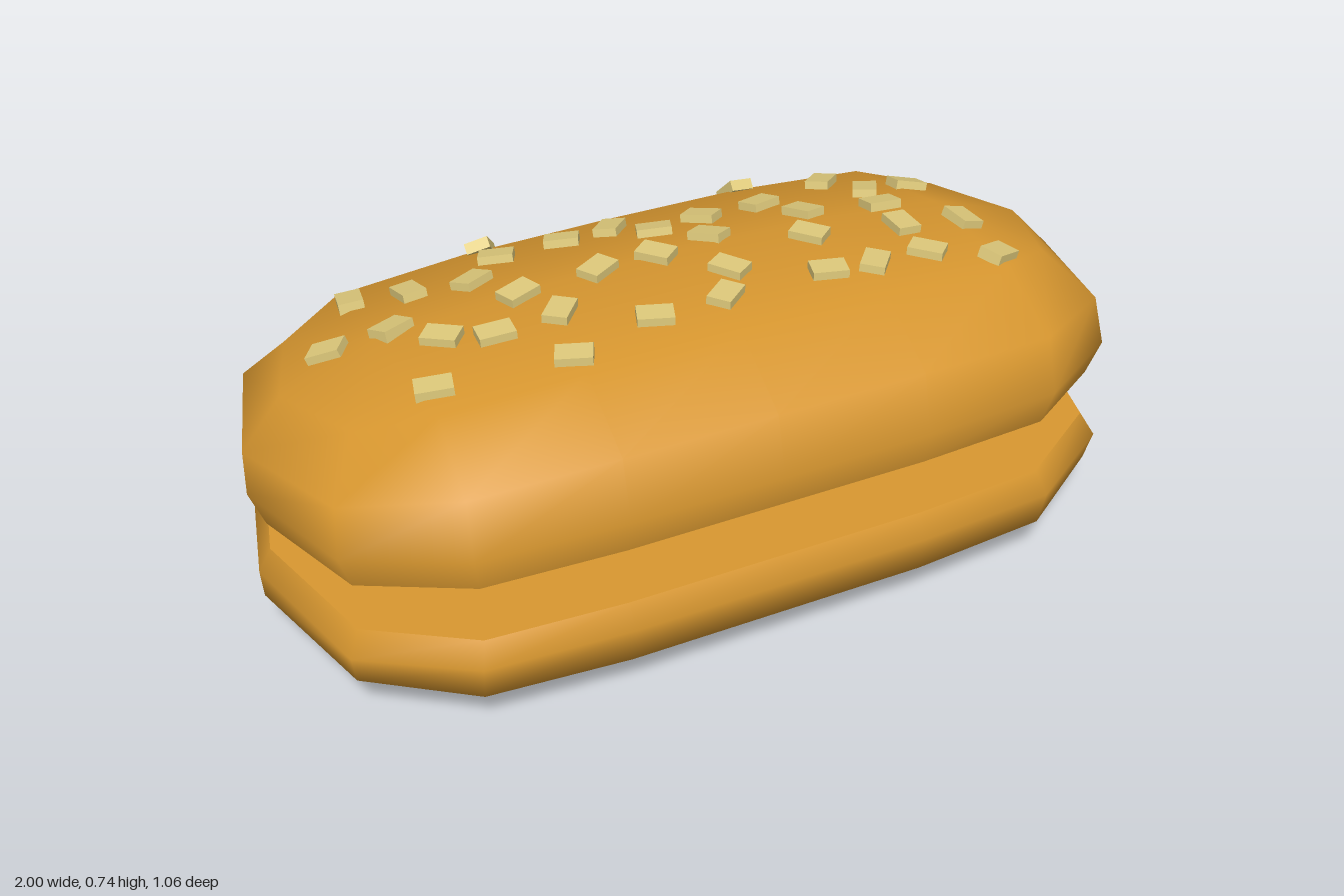
import * as THREE from 'three';
import { mergeVertices, mergeGeometries } from 'three/addons/utils/BufferGeometryUtils.js';

// Quarter outlines [x, z, height] from the end tip round to the long side, cut face to crown
const RINGS = [
  [[0.97, 0, 0], [0.885, 0.33, 0], [0.665, 0.475, 0], [0.35, 0.495, 0], [0, 0.495, 0]],
  [[1, 0, 0.08], [0.912, 0.355, 0.08], [0.68, 0.505, 0.08], [0.35, 0.526, 0.08], [0, 0.526, 0.08]],
  [[0.995, 0, 0.18], [0.9, 0.34, 0.19], [0.675, 0.487, 0.21], [0.35, 0.507, 0.22], [0, 0.507, 0.22]],
  [[0.9, 0, 0.285], [0.82, 0.24, 0.29], [0.665, 0.335, 0.325], [0.35, 0.352, 0.342], [0, 0.353, 0.345]],
  [[0.68, 0, 0.36], [0.68, 0, 0.36], [0.68, 0, 0.36], [0.35, 0, 0.385], [0, 0, 0.393]],
];

// Seeds: x, z, turn in degrees
const SEEDS = [
  -0.31, -0.40, 65, 0.35, -0.41, 95, -0.66, -0.29, 80, -0.54, -0.24, 95, -0.31, -0.30, -25,
  -0.15, -0.30, -25, -0.03, -0.30, 50, 0.17, -0.23, -50, 0.32, -0.23, 20, 0.53, -0.31, 45,
  0.58, -0.19, 60, 0.70, -0.20, -5, 0.04, -0.21, -20, -0.41, -0.19, 30, -0.77, -0.10, -35,
  -0.64, -0.06, 25, -0.56, 0.03, -40, -0.36, -0.04, 20, -0.17, -0.05, 30, -0.03, -0.05, -50,
  0.12, -0.09, -55, 0.37, -0.11, -70, 0.55, -0.07, 0, 0.32, 0.01, -50, 0.54, 0.04, 90,
  0.69, 0.06, 95, -0.46, 0.08, -5, -0.31, 0.07, 50, 0.09, 0.07, -55, -0.64, 0.20, -15,
  -0.35, 0.24, -25, -0.14, 0.18, -20, 0.03, 0.17, 40, 0.28, 0.17, -15, 0.39, 0.18, 50,
  0.53, 0.17, -45, 0.67, 0.24, 25,
];

// Mirror a quarter outline into a closed 16-point ring
function fullRing(quarter, heightAt) {
  const ring = [];
  for (let j = 0; j < 16; j++) {
    const k = j % 8;
    const [x, z, h] = quarter[k <= 4 ? k : 8 - k];
    const sx = j > 4 && j < 12 ? -1 : 1;
    const sz = j > 8 ? -1 : 1;
    ring.push([x * sx, heightAt(h), z * sz]);
  }
  return ring;
}

function toGeometry(points, index) {
  const g = new THREE.BufferGeometry();
  g.setAttribute('position', new THREE.Float32BufferAttribute(points.flat(), 3));
  g.setIndex(index);
  const merged = mergeVertices(g, 1e-4);
  merged.computeVertexNormals();
  return merged;
}

// Smooth domed half with a flat, sharply edged cut face below
function bunHalf(heightAt) {
  const rings = RINGS.map((q) => fullRing(q, heightAt));
  const shell = [];
  const cap = [];
  for (let j = 0; j < 16; j++) {
    const n = (j + 1) % 16;
    for (let i = 0; i < rings.length - 1; i++) {
      const a = i * 16 + j, b = i * 16 + n;
      shell.push(a, a + 16, b, b, a + 16, b + 16);
    }
    cap.push(16, j, n);
  }
  return mergeGeometries([
    toGeometry(rings.flat(), shell),
    toGeometry([...rings[0], [0, 0, 0]], cap),
  ]);
}

export function createModel() {
  const model = new THREE.Group();
  model.name = 'seededBun';
  const crust = new THREE.MeshStandardMaterial({ color: 0xd99830 });
  crust.name = 'golden crust';
  const seedMat = new THREE.MeshStandardMaterial({ color: 0xe0cb7c });
  seedMat.name = 'pale seed';

  // Lower half, dome facing down with a level underside ridge
  const bottom = new THREE.Mesh(bunHalf((h) => Math.min(h * 0.667 + (h > 0.355 ? 0.02 : 0), 0.26)), crust);
  bottom.name = 'bottomBun';
  bottom.rotation.x = Math.PI;
  bottom.position.y = 0.26;
  model.add(bottom);

  // Upper half, hinged open toward the front
  const top = new THREE.Mesh(bunHalf((h) => h), crust);
  top.name = 'topBun';
  top.position.y = 0.329;
  top.rotation.x = -0.134;
  model.add(top);
  model.updateMatrixWorld(true);

  // Seeds dropped onto the crust and tilted to lie along it
  const seeds = new THREE.Group();
  seeds.name = 'seeds';
  const seedGeo = new THREE.BoxGeometry(0.08, 0.026, 0.056);
  const up = new THREE.Vector3(0, 1, 0);
  const ray = new THREE.Raycaster();
  for (let i = 0; i < SEEDS.length; i += 3) {
    ray.set(new THREE.Vector3(SEEDS[i], 2, SEEDS[i + 1]), new THREE.Vector3(0, -1, 0));
    const hit = ray.intersectObject(top)[0];
    if (!hit) continue;
    const normal = hit.face.normal.clone().transformDirection(top.matrixWorld);
    const seed = new THREE.Mesh(seedGeo, seedMat);
    seed.name = 'seed';
    seed.position.copy(hit.point).addScaledVector(normal, 0.006);
    seed.quaternion.setFromUnitVectors(up, normal);
    seed.rotateY(THREE.MathUtils.degToRad(SEEDS[i + 2]));
    seeds.add(seed);
  }
  model.add(seeds);
  return model;
}
